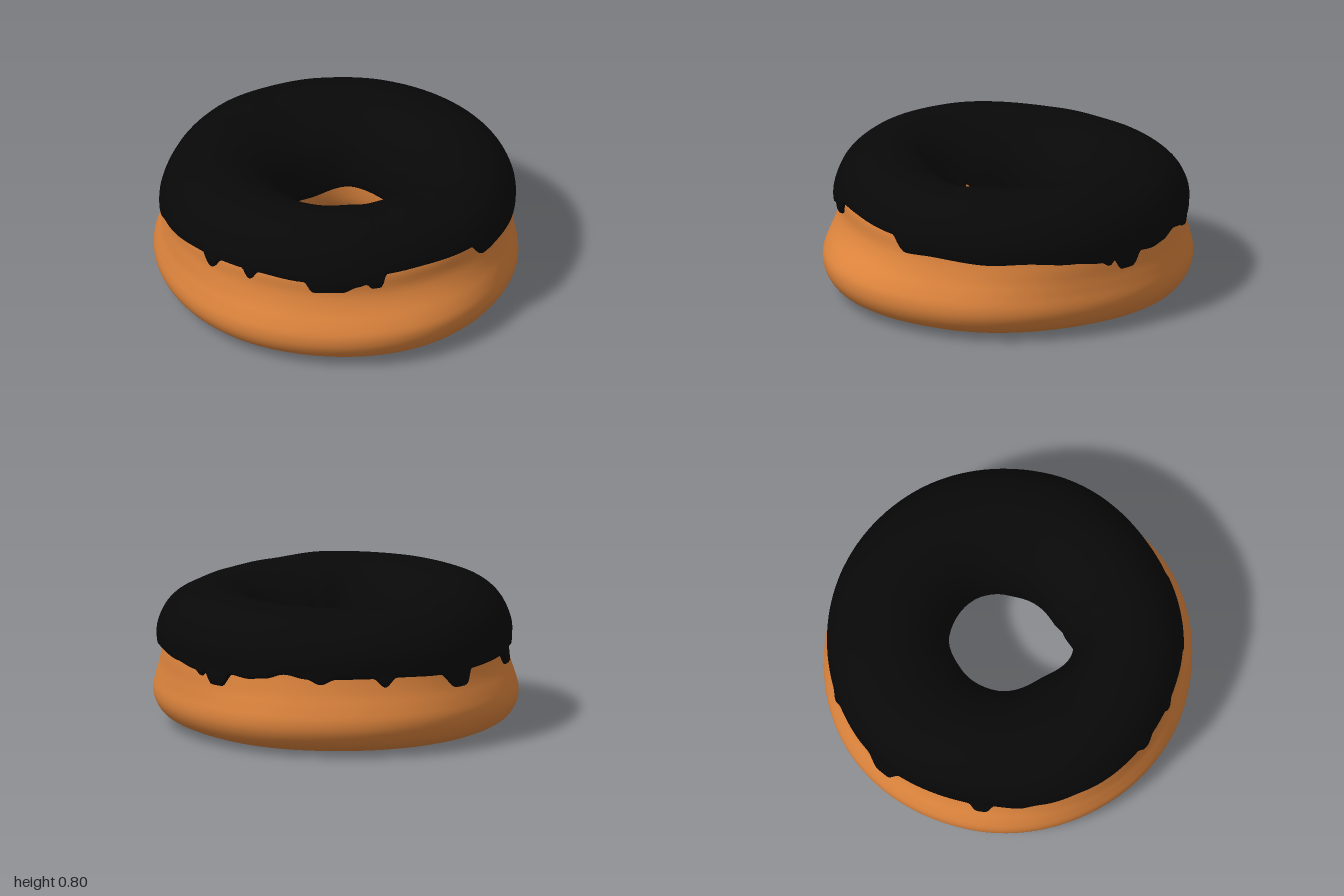
import * as THREE from 'three';

// Azimuth runs in degrees from the front (+z) towards +x.
const smooth = (a, b, v) => THREE.MathUtils.smoothstep(v, a, b);

// Rounded interpolation through a periodic list of [azimuth, value] keys
function ringValue(keys, az) {
  const n = keys.length;
  for (let i = 0; i < n; i++) {
    const [a0, v0] = keys[i];
    const a1 = i + 1 < n ? keys[i + 1][0] : keys[0][0] + 360;
    const v1 = keys[(i + 1) % n][1];
    if (az >= a0 && az <= a1) return v0 + (v1 - v0) * smooth(a0, a1, az);
  }
  return keys[0][1];
}

// Cross-section of the ring: bottom, outer bulge, waist, top, hole
const section = new THREE.CatmullRomCurve3([
  [0.65, 0], [0.78, 0.008], [0.92, 0.06], [0.972, 0.13], [0.983, 0.2], [0.965, 0.27], [0.935, 0.35], [0.915, 0.44],
  [0.913, 0.54], [0.855, 0.66], [0.75, 0.73], [0.62, 0.745], [0.48, 0.69], [0.38, 0.58],
  [0.335, 0.45], [0.335, 0.34], [0.37, 0.21], [0.455, 0.1], [0.55, 0.03],
].map(([r, y]) => new THREE.Vector3(r, y, 0)), true, 'centripetal');

// Changes around the ring: radius of lower bulge, waist and hole, height of top
const bulge = [[0, 0.017], [45, -0.005], [90, -0.033], [135, 0], [180, 0.017], [225, 0], [270, -0.013], [315, -0.005]];
const waist = [[0, -0.025], [45, 0.005], [90, 0.02], [135, 0.022], [180, 0.027], [225, -0.01], [270, 0.022], [315, -0.005]];
const hole = [[0, -0.02], [45, 0.005], [90, 0.03], [135, 0.02], [180, -0.01], [225, -0.015], [270, -0.035], [323, 0.045], [345, 0]];
const topHeight = [[0, -0.003], [22, -0.015], [36, -0.022], [55, -0.012], [90, -0.012], [135, -0.016], [160, -0.025], [180, -0.034], [200, -0.025], [225, -0.012], [270, 0.01], [300, 0.018], [335, 0.018]];

// Lower edge of the icing on the outside, with its drips
const outerEdge = [
  [0, 0.54], [24, 0.53], [30, 0.45], [40, 0.46], [60, 0.44], [72, 0.45], [88, 0.43], [98, 0.41],
  [101, 0.385], [103, 0.41], [106, 0.35], [110, 0.35], [114, 0.42], [120, 0.41], [126, 0.42],
  [133, 0.45], [140, 0.43], [145, 0.4], [150, 0.43], [162, 0.43], [166, 0.38], [170, 0.43],
  [186, 0.42], [192, 0.34], [196, 0.34], [200, 0.42], [213, 0.42], [224, 0.42], [227, 0.36],
  [230, 0.36], [233, 0.43], [241, 0.42], [248, 0.46], [262, 0.51], [284, 0.53], [288, 0.47],
  [292, 0.53], [300, 0.53], [303, 0.48], [306, 0.53], [322, 0.52], [325, 0.46], [335, 0.46],
  [340, 0.49], [343, 0.5], [345, 0.47], [348, 0.47], [350, 0.54],
];
// Lower edge of the icing inside the hole
const innerEdge = [
  [0, 0.24], [40, 0.23], [70, 0.3], [100, 0.31], [140, 0.34], [180, 0.3], [220, 0.33], [248, 0.28],
  [260, 0.34], [270, 0.37], [280, 0.43], [290, 0.48], [297, 0.4], [303, 0.4], [309, 0.31], [318, 0.26],
];

// Point of the dough surface as (radius, height), pushed out by an offset
function surface(az, s, offset = 0) {
  const p = section.getPoint(s), t = section.getTangent(s);
  const outer = THREE.MathUtils.lerp(ringValue(bulge, az), ringValue(waist, az), smooth(0.2, 0.44, p.y));
  const inner = ringValue(hole, az) * smooth(0.02, 0.32, p.y);
  const r = p.x + t.y * offset + outer * smooth(0.55, 0.9, p.x) + inner * (1 - smooth(0.34, 0.6, p.x));
  const y = p.y - t.x * offset + ringValue(topHeight, az) * smooth(0.5, 0.74, p.y);
  return [r, y];
}

// Curve parameter where the section reaches a height, between two parameters
function findHeight(y, low, high) {
  for (let i = 0; i < 24; i++) {
    const mid = (low + high) / 2;
    if (section.getPoint(mid).y < y) low = mid; else high = mid;
  }
  return (low + high) / 2;
}

// Smooth ring from a rule giving (radius, height) for each azimuth and row
function ring(name, color, steps, rows, closed, rule) {
  const pos = [], index = [];
  for (let i = 0; i < steps; i++) {
    const az = (i / steps) * 360, a = THREE.MathUtils.degToRad(az);
    const at = rule(az);
    for (let j = 0; j < rows; j++) {
      const [r, y] = at(j);
      pos.push(r * Math.sin(a), y, r * Math.cos(a));
      if (j === rows - 1 && !closed) continue;
      const i2 = ((i + 1) % steps) * rows, j2 = (j + 1) % rows, i1 = i * rows;
      index.push(i1 + j, i2 + j, i2 + j2, i1 + j, i2 + j2, i1 + j2);
    }
  }
  const geo = new THREE.BufferGeometry();
  geo.setAttribute('position', new THREE.Float32BufferAttribute(pos, 3));
  geo.setIndex(index);
  geo.computeVertexNormals();
  const mesh = new THREE.Mesh(geo, new THREE.MeshStandardMaterial({ color, side: closed ? THREE.FrontSide : THREE.DoubleSide }));
  mesh.name = name;
  return mesh;
}

export function createModel() {
  const group = new THREE.Group();
  group.name = 'icedRing';

  // Dough
  const doughRows = 76;
  group.add(ring('dough', 0xe0863e, 120, doughRows, true, (az) => (j) => surface(az, j / doughRows)));

  // Icing: a shell over the dough whose rolled edges tuck into it
  const lip = [-0.012, 0.008, 0.02, 0.027], inset = [0.004, 0, 0.002, 0.006];
  const body = 40, rows = body + 2 * lip.length;
  const outerLow = 4 / 19, top = 11 / 19, innerLow = 17 / 19;
  group.add(ring('icing', 0x080808, 480, rows, false, (az) => {
    const s0 = findHeight(ringValue(outerEdge, az), outerLow, top);
    const s1 = findHeight(ringValue(innerEdge, az), innerLow, top);
    return (j) => {
      const k = Math.min(j, rows - 1 - j);
      if (k < lip.length) return surface(az, j === k ? s0 + inset[k] : s1 - inset[k], lip[k]);
      const f = (j - lip.length + 1) / (body + 1);
      return surface(az, THREE.MathUtils.lerp(s0 + 0.006, s1 - 0.006, f), 0.03);
    };
  }));
  return group;
}
